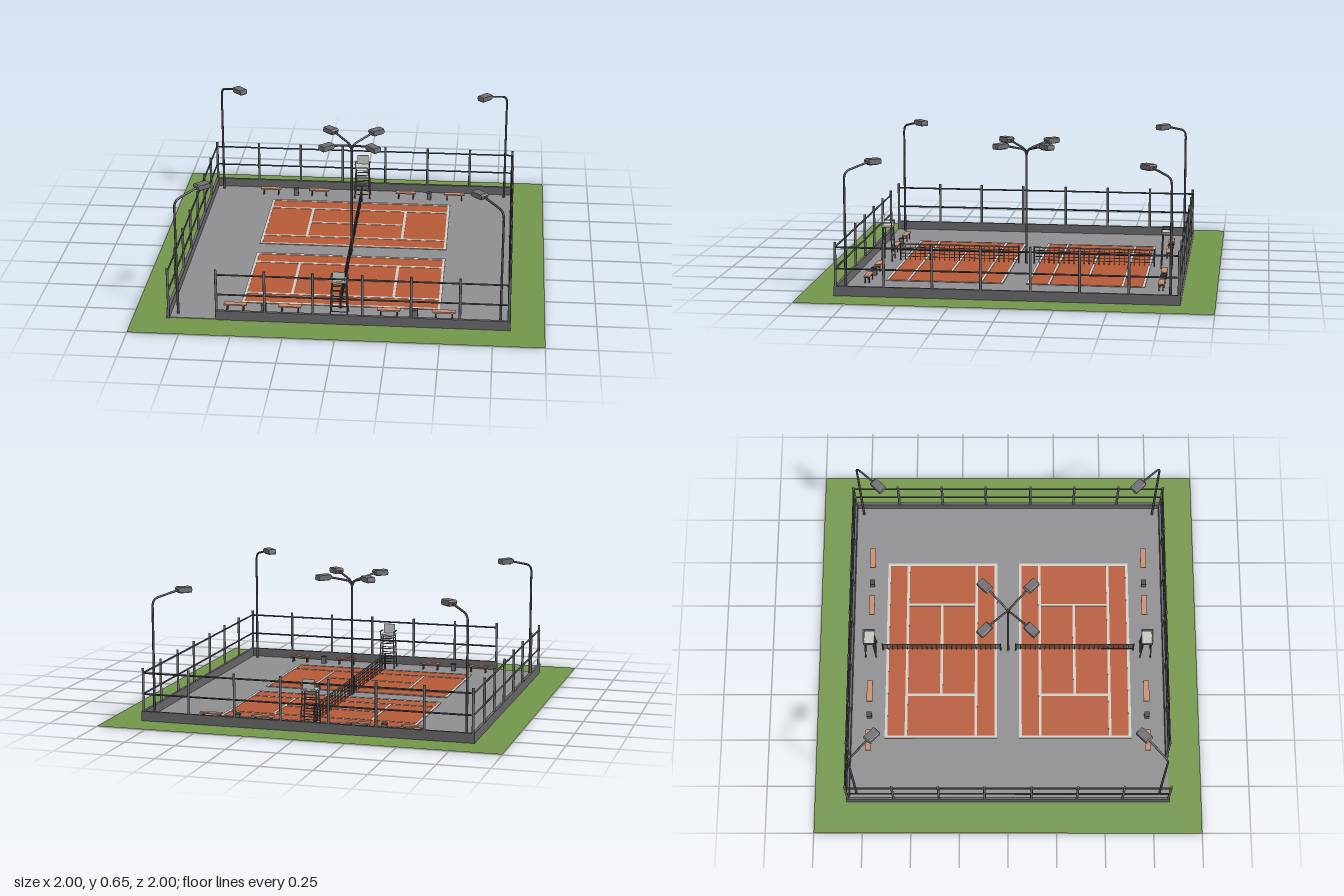
import * as THREE from 'three';

const mat = (name, color, side = THREE.FrontSide) => {
  const m = new THREE.MeshStandardMaterial({ color, side });
  m.name = name;
  return m;
};

export function createModel() {
  const M = {
    grass: mat('grass green', 0x72964a, THREE.DoubleSide),
    floor: mat('floor grey', 0x8e8e90),
    clay: mat('clay orange', 0xb65a38),
    line: mat('line white', 0xcfccc6),
    wall: mat('wall grey', 0x656567),
    post: mat('post grey', 0x6e6e72),
    dark: mat('dark metal', 0x4b4a4f),
    wood: mat('bench wood', 0xc98c70),
    seat: mat('seat light grey', 0xc4c4c0),
  };
  const root = new THREE.Group();
  root.name = 'tennisCourts';

  const group = (name, parent = root) => {
    const g = new THREE.Group();
    g.name = name;
    parent.add(g);
    return g;
  };
  const add = (parent, name, geo, material, x = 0, y = 0, z = 0) => {
    const m = new THREE.Mesh(geo, material);
    m.name = name;
    m.position.set(x, y, z);
    parent.add(m);
    return m;
  };
  const box = (parent, name, material, w, h, d, x, y, z) =>
    add(parent, name, new THREE.BoxGeometry(w, h, d), material, x, y, z);
  // Round bar between two points
  const bar = (parent, name, material, a, b, r) => {
    const p = new THREE.Vector3(...a), q = new THREE.Vector3(...b);
    const dir = q.clone().sub(p);
    const m = add(parent, name, new THREE.CylinderGeometry(r, r, dir.length(), 8), material);
    m.position.copy(p).add(q).multiplyScalar(0.5);
    m.quaternion.setFromUnitVectors(new THREE.Vector3(0, 1, 0), dir.normalize());
    return m;
  };

  // Lawn and paved floor
  add(root, 'lawn', new THREE.PlaneGeometry(2, 2).rotateX(-Math.PI / 2), M.grass, 0, 0.002, 0);
  box(root, 'floor', M.floor, 1.66, 0.005, 1.66, 0, 0.0025, 0);

  // Low wall, with an entrance at the left end of the front
  const E = 0.827, T = 0.015, H = 0.05, gate = -0.595;
  const wall = group('lowWall');
  for (const s of [-1, 1]) box(wall, 'sideWall', M.wall, T, H, 2 * E + T, s * E, H / 2, 0);
  box(wall, 'backWall', M.wall, 2 * E - T, H, T, 0, H / 2, -E);
  box(wall, 'frontWall', M.wall, E - T / 2 - gate, H, T, (E - T / 2 + gate) / 2, H / 2, E);

  // Fence posts and rails
  const fence = group('fence');
  const steps = [-0.825, -0.59, -0.355, -0.12, 0.12, 0.355, 0.59, 0.825];
  const post = (x, z) =>
    add(fence, 'fencePost', new THREE.CylinderGeometry(0.0065, 0.0065, 0.265, 8), M.post, x, 0.1325, z);
  steps.forEach((t, i) => {
    for (const s of [-1, 1]) {
      post(t, s * E);
      if (i > 0 && i < steps.length - 1) post(s * E, t);
    }
  });
  for (const y of [0.135, 0.24]) {
    const r = 0.0045;
    for (const s of [-1, 1]) bar(fence, 'sideRail', M.dark, [s * E, y, -E], [s * E, y, E], r);
    bar(fence, 'backRail', M.dark, [-E, y, -E], [E, y, -E], r);
    bar(fence, 'frontRail', M.dark, [gate, y, E], [E, y, E], r);
  }

  // Courts with painted lines and a net
  for (const s of [-1, 1]) {
    const court = group(s < 0 ? 'backCourt' : 'frontCourt');
    court.position.z = s * 0.352;
    const hx = 0.492, hz = 0.294, lw = 0.014, in1 = 0.183, inX = 0.253;
    box(court, 'clay', M.clay, 2 * hx, 0.002, 2 * hz, 0, 0.006, 0);
    const line = (w, d, x, z) => box(court, 'courtLine', M.line, w, 0.002, d, x, 0.008, z);
    for (const k of [-1, 1]) {
      line(2 * hx, lw, 0, k * (hz - lw / 2));
      line(lw, 2 * (hz - lw), k * (hx - lw / 2), 0);
      line(2 * (hx - lw), lw, 0, k * in1);
      line(lw, 2 * in1 - lw, k * inX, 0);
    }
    line(2 * inX - lw, lw, 0, 0);

    const net = group('net', court);
    const half = 0.312, top = 0.09;
    for (const k of [-1, 1])
      bar(net, 'netPost', M.dark, [0, 0.005, k * half], [0, top + 0.006, k * half], 0.004);
    box(net, 'netTape', M.post, 0.004, 0.007, 2 * half, 0, top, 0);
    for (const y of [0.025, 0.042, 0.058, 0.074])
      box(net, 'netCord', M.dark, 0.002, 0.003, 2 * half, 0, y, 0);
    const n = 24;
    for (let i = 1; i < n; i++)
      box(net, 'netCord', M.dark, 0.002, top - 0.008, 0.003, 0, 0.008 + (top - 0.008) / 2, -half + (2 * half * i) / n);
  }

  // Lamps: a bent arm pointing along local +x, with a tapered head
  const arm = new THREE.CurvePath();
  const v = (x, y) => new THREE.Vector3(x, y, 0);
  arm.add(new THREE.QuadraticBezierCurve3(v(0, 0.565), v(0, 0.602), v(0.035, 0.61)));
  arm.add(new THREE.LineCurve3(v(0.035, 0.61), v(0.14, 0.635)));
  const armGeo = new THREE.TubeGeometry(arm, 16, 0.0055, 8);
  const headShape = new THREE.Shape();
  [[-0.037, 0.006], [-0.03, -0.011], [0.034, -0.013], [0.037, -0.004], [0.034, 0.011], [-0.03, 0.013]]
    .forEach(([x, y], i) => (i ? headShape.lineTo(x, y) : headShape.moveTo(x, y)));
  const headGeo = new THREE.ExtrudeGeometry(headShape, {
    depth: 0.036, bevelEnabled: true, bevelThickness: 0.004, bevelSize: 0.002, bevelSegments: 1,
  }).translate(0, 0, -0.018);
  const lampArm = (parent, dx, dz) => {
    const g = group('lampArm', parent);
    g.rotation.y = Math.atan2(-dz, dx);
    add(g, 'arm', armGeo, M.dark);
    add(g, 'lampHead', headGeo, M.post, 0.166, 0.636, 0);
    box(g, 'lampGlass', M.wood, 0.052, 0.003, 0.032, 0.166, 0.621, 0);
  };
  const pole = (g, h) =>
    add(g, 'lampPole', new THREE.CylinderGeometry(0.0055, 0.0065, h, 10), M.dark, 0, h / 2, 0);
  const centre = group('centreLamp');
  pole(centre, 0.6);
  for (const sx of [-1, 1]) for (const sz of [-1, 1]) {
    lampArm(centre, sx, sz);
    const corner = group('cornerLamp');
    corner.position.set(sx * 0.785, 0, sz * 0.785);
    pole(corner, 0.567);
    lampArm(corner, -sx, -sz);
  }

  // Courtside furniture, with local +z facing away from the courts
  for (const s of [-1, 1]) {
    const side = group('courtside');
    side.position.z = s * 0.728;
    if (s < 0) side.rotation.y = Math.PI;

    // Umpire chair with a ladder on both faces
    const chair = group('umpireChair', side);
    const leg = (sx, sz, y) => [sx * (0.042 - y * 0.04), y, sz * (0.028 - y * 0.04)];
    for (const sz of [-1, 1]) {
      for (const sx of [-1, 1]) bar(chair, 'chairLeg', M.post, leg(sx, sz, 0), leg(sx, sz, 0.185), 0.0035);
      for (let y = 0.03; y < 0.18; y += 0.028)
        bar(chair, 'ladderRung', M.post, leg(-1, sz, y), leg(1, sz, y), 0.0025);
    }
    box(chair, 'chairSeat', M.seat, 0.076, 0.008, 0.056, 0, 0.188, 0);
    box(chair, 'chairBack', M.seat, 0.062, 0.05, 0.006, 0, 0.219, 0.027);
    for (const sx of [-1, 1]) {
      box(chair, 'armrest', M.post, 0.006, 0.005, 0.058, sx * 0.039, 0.208, 0);
      box(chair, 'armrestPost', M.post, 0.005, 0.022, 0.005, sx * 0.039, 0.196, -0.025);
    }

    // Benches and litter bins
    for (const sx of [-1, 1]) {
      for (const x of [0.242, 0.511]) {
        const bench = group('bench', side);
        bench.position.x = sx * x;
        box(bench, 'benchTop', M.wood, 0.112, 0.007, 0.03, 0, 0.0385, 0);
        for (const k of [-1, 1]) {
          box(bench, 'benchBrace', M.dark, 0.006, 0.005, 0.026, k * 0.04, 0.0325, 0);
          for (const j of [-1, 1])
            box(bench, 'benchLeg', M.dark, 0.006, 0.034, 0.005, k * 0.04, 0.017, j * 0.01);
        }
      }
      box(side, 'litterBin', M.post, 0.024, 0.036, 0.024, sx * 0.371, 0.023, 0);
      box(side, 'binLid', M.dark, 0.027, 0.005, 0.027, sx * 0.371, 0.0425, 0);
    }
  }
  return root;
}
